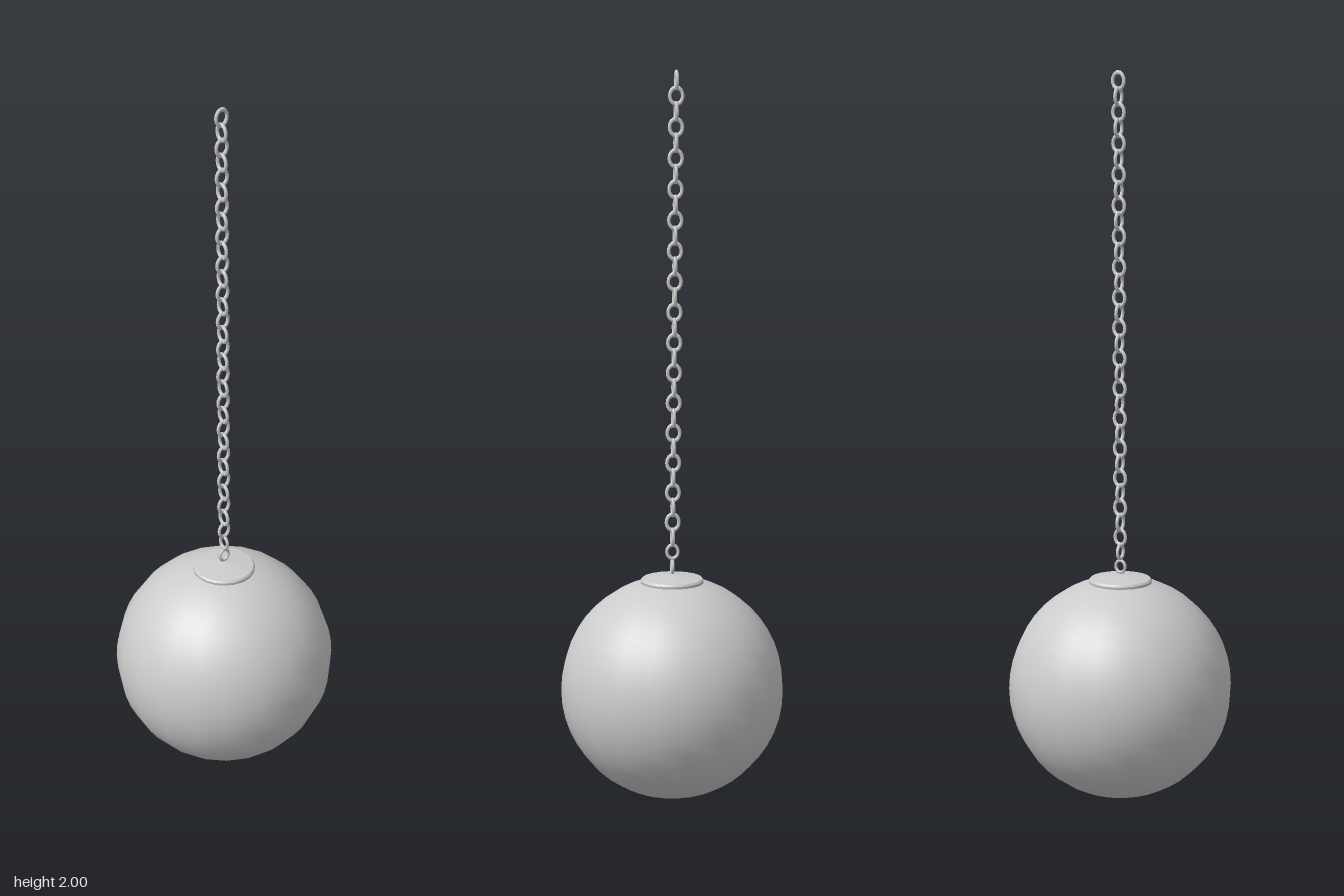
import * as THREE from 'three';

export function createModel() {
  const group = new THREE.Group();
  const material = new THREE.MeshStandardMaterial({ color: 0xcccccc });
  const add = (geometry, name, parent = group) => {
    const mesh = new THREE.Mesh(geometry, material);
    mesh.name = name;
    parent.add(mesh);
    return mesh;
  };

  // Heavy ball, twenty sides around
  add(new THREE.SphereGeometry(0.309, 20, 24), 'ball').position.y = 0.309;

  // Slightly domed cap where the chain meets the ball
  const capProfile = [[0, 0.59], [0.087, 0.59], [0.087, 0.612], [0.087, 0.612],
    [0.083, 0.617], [0.083, 0.617], [0, 0.627]].map(([r, y]) => new THREE.Vector2(r, y));
  add(new THREE.LatheGeometry(capProfile, 20), 'cap');

  // Chain of oval links, alternately turned by a quarter, leaning a little to -x
  const chain = new THREE.Group();
  chain.name = 'chain';
  group.add(chain);
  const linkGeometry = new THREE.TorusGeometry(0.0175, 0.0048, 8, 16);
  const count = 33, bottom = 0.65, top = 1.972;
  for (let i = 0; i < count; i++) {
    const t = i / (count - 1);
    const link = add(linkGeometry, 'chainLink', chain);
    link.position.set(-0.011 * t, bottom + (top - bottom) * t, 0);
    link.rotation.y = i % 2 ? 0 : Math.PI / 2;
    // The lowest links are smaller and rounder
    const size = Math.min(1, 0.85 + 0.05 * i);
    link.scale.set(size, Math.min(1.25, 0.95 + 0.12 * i), 1);
  }
  return group;
}
